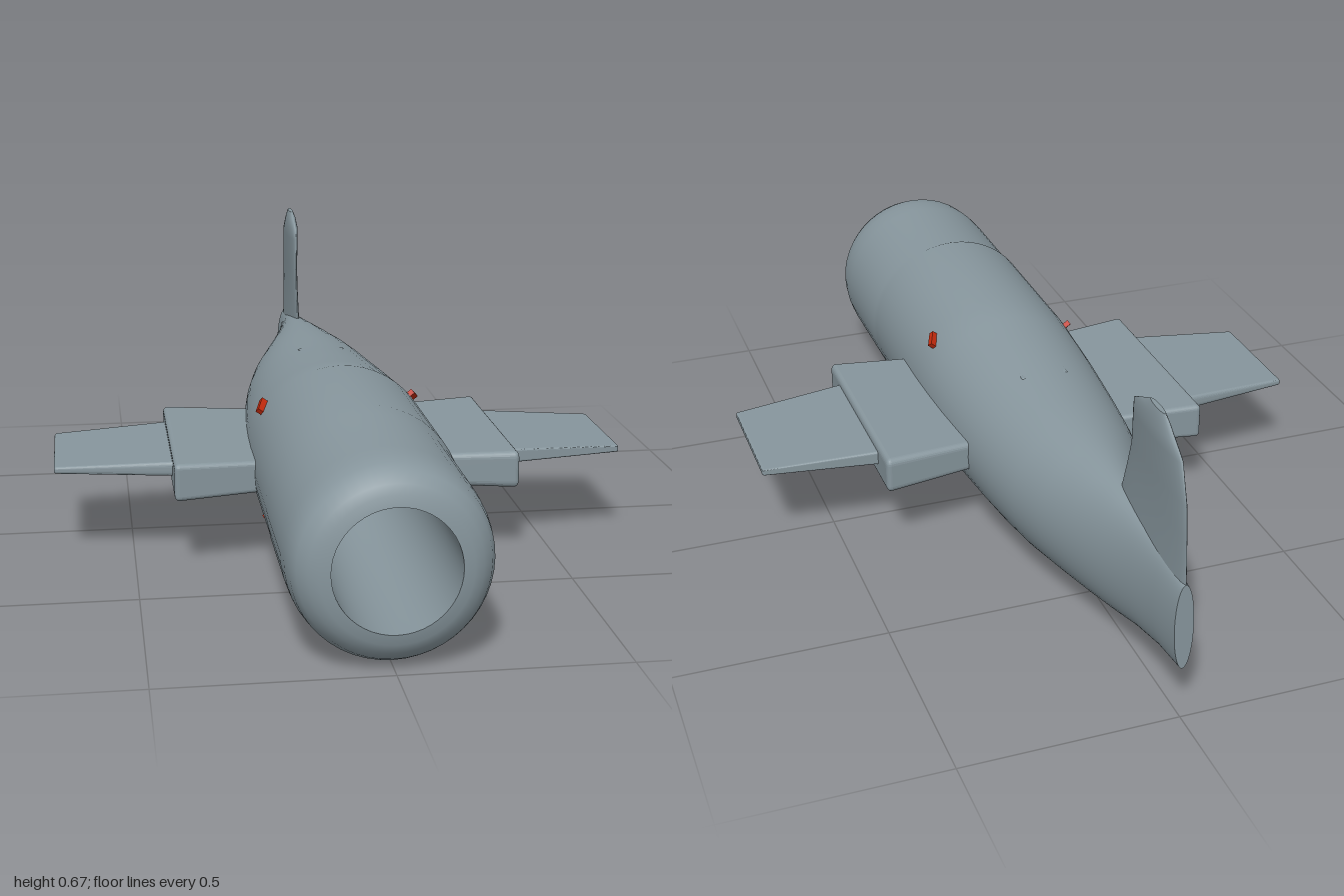
import * as THREE from 'three';
import { RoundedBoxGeometry } from 'three/addons/geometries/RoundedBoxGeometry.js';

const paint = new THREE.MeshStandardMaterial({ color: 0x87969d });
const paintDouble = new THREE.MeshStandardMaterial({ color: 0x87969d, side: THREE.DoubleSide });
const red = new THREE.MeshStandardMaterial({ color: 0xc42a0c });
const black = new THREE.MeshStandardMaterial({ color: 0x111111 });
const AXIS_Y = 0.225;

function add(parent, name, geometry, material) {
  const mesh = new THREE.Mesh(geometry, material);
  mesh.name = name;
  parent.add(mesh);
  return mesh;
}

// Skin over a row of closed rings; pointAt(station, angle) gives [x, y, z]. The last ring is capped.
function loft(stations, sides, pointAt) {
  const pos = [], index = [];
  const ring = (s) => {
    for (let j = 0; j < sides; j++) pos.push(...pointAt(s, (j / sides) * Math.PI * 2));
  };
  stations.forEach(ring);
  for (let i = 0; i < stations.length - 1; i++) {
    for (let j = 0; j < sides; j++) {
      const k = (j + 1) % sides;
      const a = i * sides + j, b = i * sides + k;
      index.push(a, a + sides, b, b, a + sides, b + sides);
    }
  }
  const cap = stations.length * sides;
  ring(stations[stations.length - 1]);
  for (let j = 1; j < sides - 1; j++) index.push(cap, cap + j + 1, cap + j);
  const g = new THREE.BufferGeometry();
  g.setAttribute('position', new THREE.Float32BufferAttribute(pos, 3));
  g.setIndex(index);
  g.computeVertexNormals();
  return g;
}

// Rounded slab from x0 to x1 whose height, front and back edge change along its length
function taperedSlab(x0, x1, root, tip, radius) {
  const len = x1 - x0;
  const g = new RoundedBoxGeometry(len, root.h, root.front - root.back, 3, radius);
  const p = g.attributes.position;
  for (let i = 0; i < p.count; i++) {
    const t = p.getX(i) / len + 0.5;
    const mix = (key) => THREE.MathUtils.lerp(root[key], tip[key], t);
    const w = p.getZ(i) / (root.front - root.back) + 0.5;
    p.setXYZ(i, x0 + t * len, mix('y') + (p.getY(i) / root.h) * mix('h'),
      THREE.MathUtils.lerp(mix('back'), mix('front'), w));
  }
  g.computeVertexNormals();
  return g;
}

export function createModel() {
  const model = new THREE.Group();

  // Fuselage: z, bottom, top, half width
  const hull = [
    [1.0, 0.09, 0.36, 0.135], [0.995, 0.066, 0.384, 0.159], [0.985, 0.045, 0.405, 0.18],
    [0.965, 0.024, 0.426, 0.201], [0.94, 0.012, 0.437, 0.212], [0.9, 0.006, 0.442, 0.218],
    [0.85, 0.004, 0.444, 0.22], [0.6, 0.003, 0.445, 0.22], [0.57, 0.003, 0.456, 0.22],
    [0.2, 0.003, 0.456, 0.22], [0.1, 0.009, 0.443, 0.218], [0, 0.018, 0.434, 0.213],
    [-0.1, 0.025, 0.425, 0.205], [-0.2, 0.032, 0.417, 0.196], [-0.3, 0.036, 0.412, 0.183],
    [-0.4, 0.04, 0.407, 0.164], [-0.5, 0.048, 0.4, 0.135], [-0.6, 0.058, 0.392, 0.103],
    [-0.7, 0.075, 0.382, 0.072], [-0.8, 0.1, 0.37, 0.046], [-0.9, 0.12, 0.355, 0.03],
    [-1.0, 0.13, 0.34, 0.022],
  ];
  add(model, 'fuselage', loft(hull, 48, ([z, lo, hi, w], a) =>
    [Math.cos(a) * w, (lo + hi) / 2 + Math.sin(a) * (hi - lo) / 2, z]), paint);

  // Open nose intake, narrowing to a closed back wall
  const tunnel = [[0.135, 1], [0.137, 0.8], [0.135, 0.5], [0.125, 0.2], [0.1, 0], [0, -0.02]]
    .map(([r, z]) => new THREE.Vector2(r, z));
  const intake = add(model, 'intakeTunnel', new THREE.LatheGeometry(tunnel, 48), paintDouble);
  intake.rotation.x = Math.PI / 2;
  intake.position.y = AXIS_Y;
  const core = add(model, 'intakeCore', new THREE.SphereGeometry(0.075, 32, 20), black);
  core.position.set(0, 0.217, 0.3);

  // Tail fin: height, front z, back z, half thickness
  const finSlices = [
    [0.33, -0.635, -1.0, 0.013], [0.39, -0.655, -0.997, 0.011], [0.45, -0.677, -0.993, 0.01],
    [0.52, -0.7, -0.985, 0.011], [0.605, -0.705, -0.955, 0.015], [0.632, -0.708, -0.917, 0.014],
    [0.655, -0.758, -0.885, 0.011], [0.67, -0.79, -0.865, 0.006],
  ];
  add(model, 'tailFin', loft(finSlices, 28, ([y, f, b, h], a) =>
    [Math.cos(a) * h, y, (f + b) / 2 + Math.sin(a) * (f - b) / 2]), paint);

  // Wings: thick inner block and thin outer panel on each side
  for (const side of [1, -1]) {
    const wing = new THREE.Group();
    wing.name = side > 0 ? 'leftWing' : 'rightWing';
    const slab = (name, x0, x1, root, tip, r) => add(wing, name, side > 0
      ? taperedSlab(x0, x1, root, tip, r) : taperedSlab(-x1, -x0, tip, root, r), paint);
    slab('wingBlock', 0.07, 0.408, { y: 0.224, h: 0.066, front: 0.305, back: -0.155 },
      { y: 0.222, h: 0.09, front: 0.345, back: -0.195 }, 0.012);
    slab('wingPanel', 0.39, 0.685, { y: 0.231, h: 0.036, front: 0.258, back: -0.115 },
      { y: 0.228, h: 0.016, front: 0.22, back: -0.083 }, 0.006);
    model.add(wing);

    // Small vents on the back
    for (const [z, size] of [[-0.16, 0.018], [-0.135, 0.025]]) {
      const vent = add(model, 'vent', new RoundedBoxGeometry(0.018, 0.012, size, 2, 0.004), paint);
      vent.position.set(side * 0.05, 0.408, z);
    }
  }

  // Red vanes around the body, each twisted about its own radius: angle, inner radius
  for (const [deg, inner] of [[40, 0.2], [145, 0.2], [222, 0.1], [-40, 0.1]]) {
    const arm = new THREE.Group();
    arm.name = 'redVane';
    arm.position.set(0, AXIS_Y, 0.18);
    arm.rotation.z = THREE.MathUtils.degToRad(deg);
    const outer = 0.238;
    const vane = add(arm, 'vaneBlade', new THREE.BoxGeometry(outer - inner, 0.013, 0.04), red);
    vane.position.x = (outer + inner) / 2;
    vane.rotation.x = -0.6;
    model.add(arm);
  }
  return model;
}
